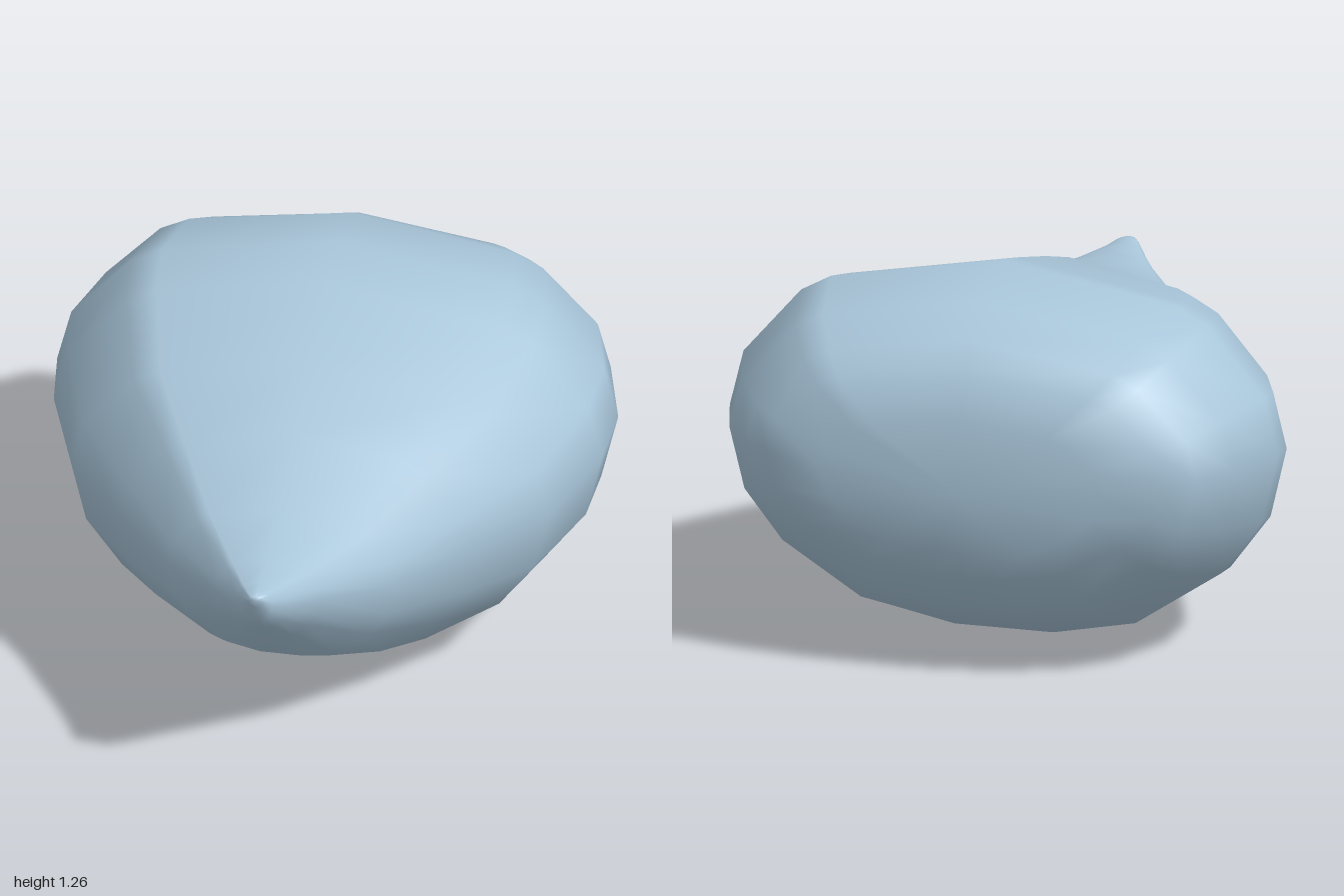
import * as THREE from 'three';

// Half outline of a cross-section: [share of half width, share of height], bottom to top
const half = [[0, 0], [0.18, 0], [0.48, 0.045], [0.79, 0.2], [0.94, 0.35], [1, 0.54],
  [0.95, 0.69], [0.74, 0.87], [0.63, 0.915], [0, 1]];
const outline = [...half, ...half.slice(1, -1).reverse().map(([u, v]) => [-u, v])];

// Sections from tip to back: z, bottom y, top y, half width
const sections = [
  [0.995, 0.84, 0.88, 0.025],
  [0.97, 0.77, 0.886, 0.05],
  [0.92, 0.71, 0.882, 0.085],
  [0.8, 0.595, 0.886, 0.175],
  [0.56, 0.36, 0.92, 0.365],
  [0.3, 0.185, 1.03, 0.57],
  [0.03, 0.05, 1.12, 0.77],
  [-0.28, 0, 1.215, 0.885],
  [-0.45, 0.03, 1.26, 0.905],
  [-0.7, 0.13, 1.2, 0.835],
  [-0.83, 0.23, 1.11, 0.745],
  [-0.92, 0.35, 1.04, 0.655],
  [-0.97, 0.44, 0.89, 0.46],
];

// Skin the sections and close both ends with a fan
function loft(rings, front, back) {
  const n = outline.length, pos = [], index = [];
  for (const [z, y0, y1, w] of rings)
    for (const [u, v] of outline) pos.push(u * w, y0 + v * (y1 - y0), z);
  const f = rings.length * n, last = f - n;
  pos.push(...front, ...back);
  for (let j = 0; j < n; j++) {
    const k = (j + 1) % n;
    for (let i = 0; i < last; i += n)
      index.push(i + j, i + n + j, i + k, i + k, i + n + j, i + n + k);
    index.push(f, j, k, f + 1, last + k, last + j);
  }
  const g = new THREE.BufferGeometry();
  g.setAttribute('position', new THREE.Float32BufferAttribute(pos, 3));
  g.setIndex(index);
  g.computeVertexNormals();
  return g;
}

export function createModel() {
  const group = new THREE.Group();
  group.name = 'drop';
  // Rounded body drawn out to a raised tip at the front
  const body = new THREE.Mesh(
    loft(sections, [0, 0.865, 1], [0, 0.65, -1]),
    new THREE.MeshStandardMaterial({ color: 0xa9c6da }),
  );
  body.name = 'dropBody';
  group.add(body);
  return group;
}
